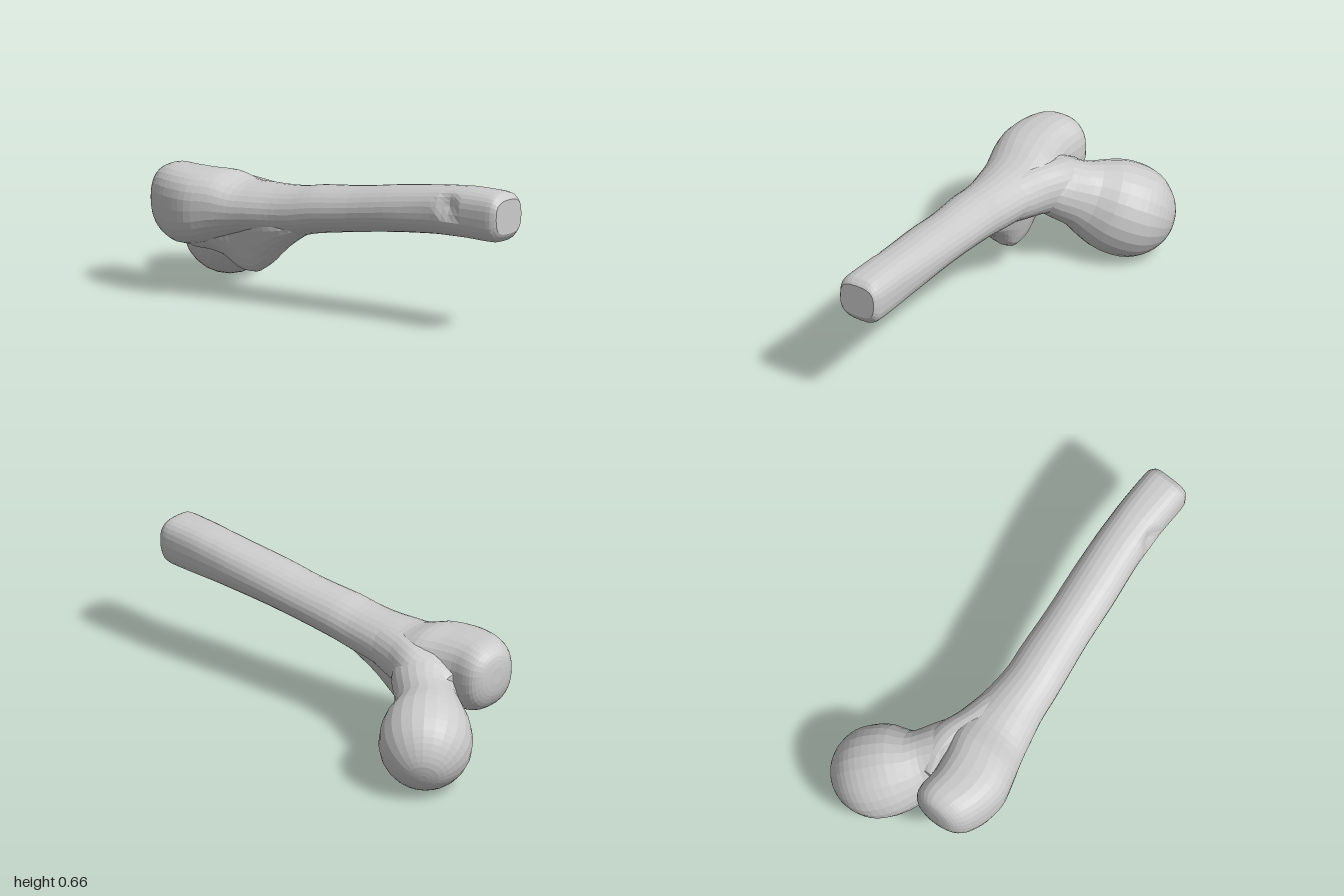
import * as THREE from 'three';

const material = new THREE.MeshStandardMaterial({ color: 0xcccccc, flatShading: true });

// Smooth interpolation between four neighbouring values
function spline(a, b, c, d, t) {
  const m0 = (c - a) / 2, m1 = (d - b) / 2;
  return b + t * (m0 + t * (3 * (c - b) - 2 * m0 - m1 + t * (2 * (b - c) + m0 + m1)));
}

// Insert extra rows between the given cross-sections
function refine(rows, steps) {
  const at = i => rows[THREE.MathUtils.clamp(i, 0, rows.length - 1)];
  const out = [];
  for (let i = 0; i < rows.length - 1; i++) {
    for (let s = 0; s < steps; s++) {
      out.push(rows[i].map((v, k) => spline(at(i - 1)[k], v, at(i + 1)[k], at(i + 2)[k], s / steps)));
    }
  }
  out.push(rows[rows.length - 1]);
  return out;
}

// Loft rounded sections [z, centreX, centreY, halfWidth, halfHeight, squareness] along z
function loft(name, sections, sides, steps, deform) {
  const rows = refine([...sections].sort((a, b) => a[0] - b[0]), steps);
  const positions = [], index = [];
  const rounded = (v, n) => Math.sign(v) * Math.abs(v) ** (2 / n);
  for (const [z, cx, cy, rx, ry, n] of rows) {
    for (let j = 0; j < sides; j++) {
      const a = (j / sides) * Math.PI * 2;
      const p = new THREE.Vector3(cx + rx * rounded(Math.cos(a), n), cy + ry * rounded(Math.sin(a), n), z);
      if (deform) deform(p);
      positions.push(p.x, p.y, p.z);
    }
  }
  const last = rows.length - 1, start = rows.length * sides;
  for (const r of [rows[0], rows[last]]) positions.push(r[1], r[2], r[0]);
  for (let j = 0; j < sides; j++) {
    const k = (j + 1) % sides;
    for (let i = 0; i < last; i++) {
      const a = i * sides + j, b = i * sides + k;
      index.push(a, b, b + sides, a, b + sides, a + sides);
    }
    index.push(start, k, j, start + 1, last * sides + j, last * sides + k);
  }
  const geometry = new THREE.BufferGeometry();
  geometry.setAttribute('position', new THREE.Float32BufferAttribute(positions, 3));
  geometry.setIndex(index);
  geometry.computeVertexNormals();
  const mesh = new THREE.Mesh(geometry, material);
  mesh.name = name;
  return mesh;
}

export function createModel() {
  const group = new THREE.Group();
  group.name = 'thighBone';

  // Shaft swelling into the large outer knob, with a small pit near the cut end
  const pit = new THREE.Vector3(-0.16, 0.58, 0.73);
  const dent = p => {
    const d = p.distanceTo(pit);
    if (d < 0.07) p.x += 0.03 * (1 - d / 0.07);
  };
  group.add(loft('shaftAndOuterKnob', [
    [1.0, -0.058, 0.553, 0.09, 0.078, 3],
    [0.985, -0.058, 0.55, 0.1, 0.097, 3],
    [0.95, -0.057, 0.547, 0.109, 0.114, 2.8],
    [0.8, -0.057, 0.546, 0.11, 0.115, 2.6],
    [0.7, -0.062, 0.541, 0.112, 0.113, 2.4],
    [0.6, -0.068, 0.534, 0.114, 0.11, 2.3],
    [0.4, -0.09, 0.513, 0.12, 0.107, 2.1],
    [0.2, -0.11, 0.485, 0.12, 0.105, 2],
    [0, -0.132, 0.46, 0.128, 0.11, 2],
    [-0.1, -0.143, 0.44, 0.13, 0.113, 2],
    [-0.2, -0.148, 0.43, 0.138, 0.115, 2],
    [-0.3, -0.155, 0.425, 0.155, 0.118, 2],
    [-0.4, -0.165, 0.418, 0.17, 0.125, 2.1],
    [-0.5, -0.188, 0.418, 0.178, 0.155, 2.3],
    [-0.6, -0.218, 0.406, 0.173, 0.171, 2.5],
    [-0.7, -0.225, 0.403, 0.158, 0.176, 2.6],
    [-0.78, -0.212, 0.412, 0.148, 0.165, 2.5],
    [-0.83, -0.203, 0.422, 0.128, 0.138, 2.4],
    [-0.86, -0.2, 0.435, 0.088, 0.095, 2.2],
    [-0.87, -0.2, 0.44, 0.035, 0.04, 2],
  ], 28, 3, dent));

  // Shoulder filling the inside corner between shaft and neck
  group.add(loft('shoulder', [
    [-0.18, -0.13, 0.43, 0.105, 0.095, 2],
    [-0.3, -0.1, 0.42, 0.103, 0.108, 2],
    [-0.4, -0.075, 0.412, 0.1, 0.116, 2],
    [-0.46, -0.055, 0.406, 0.104, 0.12, 2],
    [-0.52, -0.04, 0.4, 0.11, 0.122, 2],
    [-0.58, -0.035, 0.387, 0.112, 0.122, 2],
    [-0.65, -0.04, 0.37, 0.1, 0.115, 2],
    [-0.72, -0.06, 0.36, 0.07, 0.08, 2],
  ], 24, 2));

  // Waisted neck flaring out of the shaft and running smoothly into the ball of the joint
  const headAndNeck = loft('neckAndBallHead', [
    [0, -0.01, 0.02, 0.08, 0.07, 2],
    [0.08, -0.02, 0.025, 0.13, 0.11, 2],
    [0.15, -0.022, 0.022, 0.153, 0.134, 2],
    [0.22, -0.02, 0.017, 0.148, 0.143, 2],
    [0.28, -0.012, 0.01, 0.143, 0.153, 2],
    [0.34, 0.004, 0, 0.157, 0.179, 2],
    [0.42, 0, 0, 0.193, 0.208, 2],
    [0.49, 0, 0, 0.209, 0.217, 2],
    [0.56, 0, 0, 0.209, 0.213, 2],
    [0.62, 0, 0, 0.192, 0.195, 2],
    [0.67, 0, 0, 0.16, 0.162, 2],
    [0.71, 0, 0, 0.118, 0.118, 2],
    [0.735, 0, 0, 0.07, 0.07, 2],
    [0.743, 0, 0, 0.02, 0.02, 2],
  ], 24, 2);
  headAndNeck.position.set(-0.193, 0.42, -0.471);
  headAndNeck.lookAt(0.177, 0.215, -0.786);
  group.add(headAndNeck);

  // Small inner knob under the shaft, spreading where it joins and trailing into a crest to the outer knob
  const spread = p => {
    p.x = -0.165 + (p.x + 0.165) * (1 + 2.5 * Math.max(0, p.y - 0.22));
  };
  group.add(loft('innerKnobAndCrest', [
    [-0.04, -0.145, 0.39, 0.04, 0.035, 2],
    [-0.12, -0.152, 0.365, 0.07, 0.055, 2],
    [-0.2, -0.16, 0.35, 0.08, 0.1, 2.2],
    [-0.27, -0.165, 0.34, 0.082, 0.16, 2.4],
    [-0.33, -0.168, 0.33, 0.08, 0.195, 2.5],
    [-0.38, -0.168, 0.33, 0.078, 0.205, 2.5],
    [-0.44, -0.172, 0.33, 0.08, 0.19, 2.5],
    [-0.5, -0.185, 0.33, 0.085, 0.145, 2.4],
    [-0.57, -0.21, 0.33, 0.085, 0.122, 2.2],
    [-0.65, -0.225, 0.33, 0.08, 0.118, 2.2],
    [-0.72, -0.225, 0.34, 0.06, 0.09, 2],
  ], 20, 2, spread));

  return group;
}
